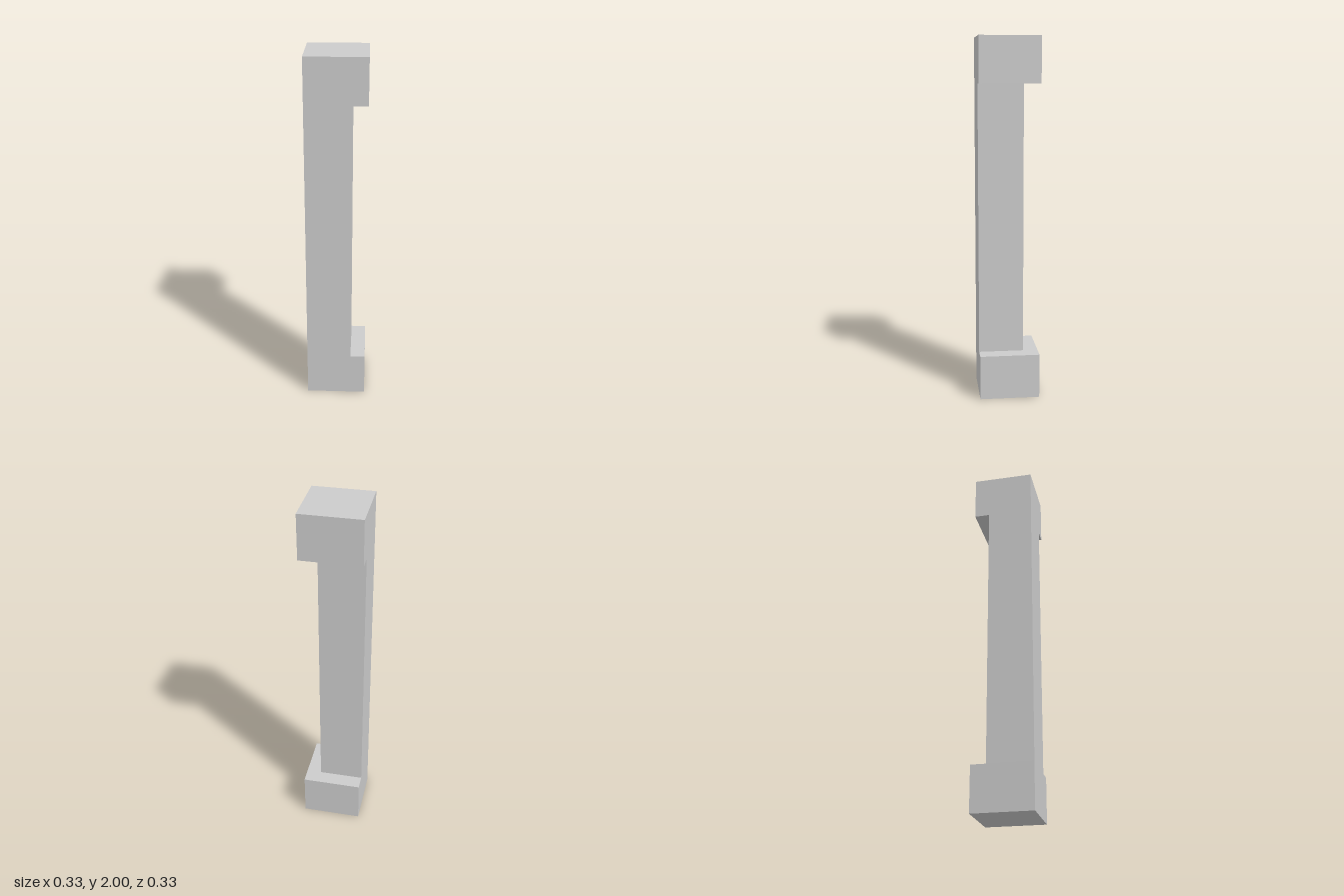
import * as THREE from 'three';

const SIZE = 1 / 3;      // square plan of the end blocks
const SHAFT = 0.25;      // square plan of the shaft
const BLOCK = 0.25;      // height of each end block
const HEIGHT = 2;

export function createModel() {
  const group = new THREE.Group();
  group.name = 'cornerPillar';
  const material = new THREE.MeshStandardMaterial({ color: 0xcccccc, flatShading: true });

  const addBox = (name, width, height, x, y, z) => {
    const mesh = new THREE.Mesh(new THREE.BoxGeometry(width, height, width), material);
    mesh.name = name;
    mesh.position.set(x, y, z);
    group.add(mesh);
  };

  // Square base and capital
  addBox('base', SIZE, BLOCK, 0, BLOCK / 2, 0);
  addBox('capital', SIZE, BLOCK, 0, HEIGHT - BLOCK / 2, 0);

  // Shaft, flush with the front and the -x side of the blocks
  const offset = (SIZE - SHAFT) / 2;
  addBox('shaft', SHAFT, HEIGHT - 2 * BLOCK, -offset, HEIGHT / 2, offset);

  return group;
}
